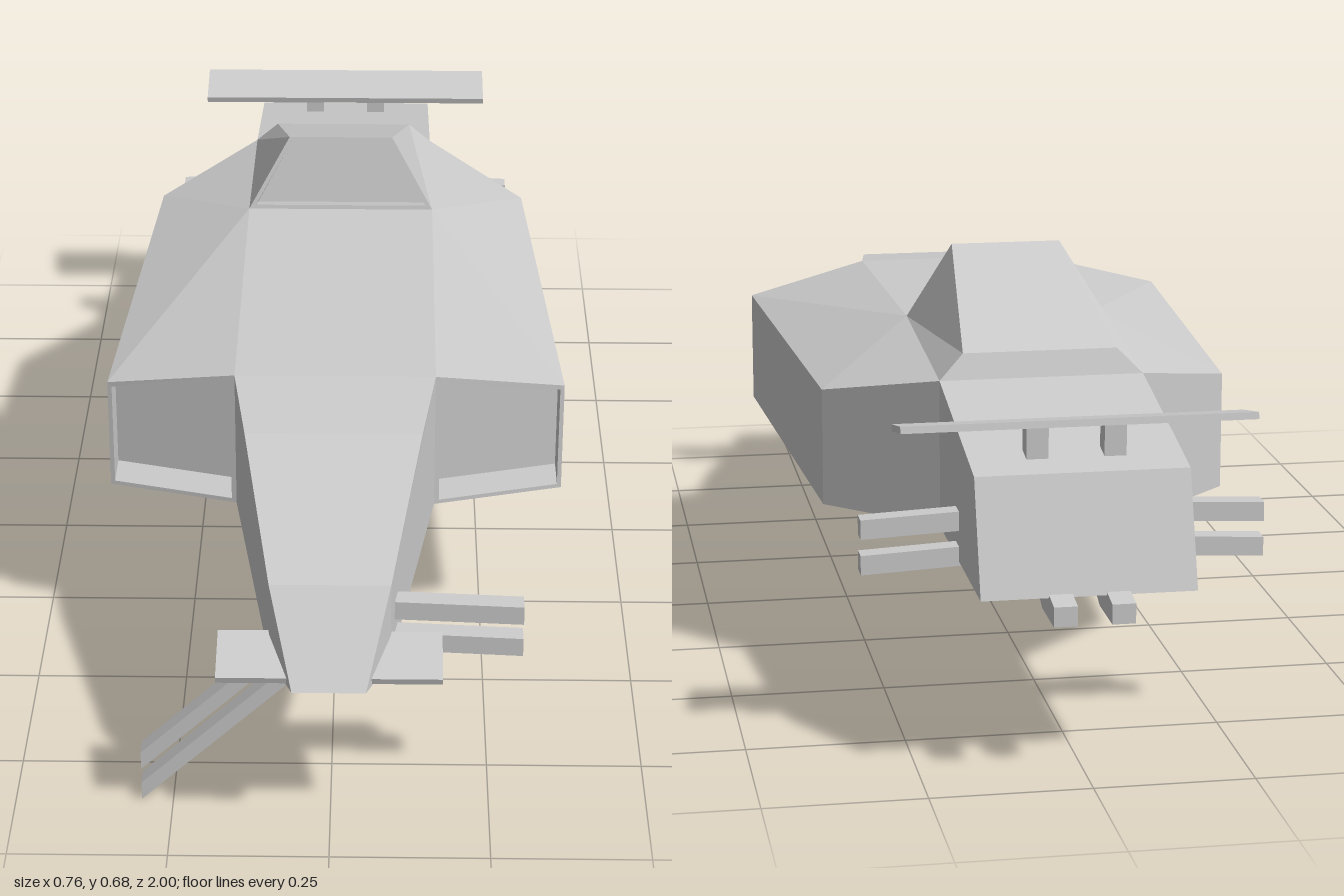
import * as THREE from 'three';

const material = new THREE.MeshStandardMaterial({ color: 0xcccccc, flatShading: true });

function addMesh(parent, name, geometry) {
  const mesh = new THREE.Mesh(geometry, material);
  mesh.name = name;
  parent.add(mesh);
  return mesh;
}

// Flat-faced geometry from convex polygons, each split as a fan
function facesGeometry(faces) {
  const pos = [];
  for (const f of faces)
    for (let i = 1; i < f.length - 1; i++) pos.push(...f[0], ...f[i], ...f[i + 1]);
  const g = new THREE.BufferGeometry();
  g.setAttribute('position', new THREE.Float32BufferAttribute(pos, 3));
  g.computeVertexNormals();
  return g;
}

const flip = ([x, y, z]) => [-x, y, z];
const withMirror = (faces) => faces.flatMap((f) => [f, f.map(flip).reverse()]);

// Frame, side walls and back of a recessed opening
function recess(outer, inner, deep) {
  const faces = [deep];
  outer.forEach((o, i) => {
    const j = (i + 1) % outer.length;
    faces.push([o, outer[j], inner[j], inner[i]], [inner[i], inner[j], deep[j], deep[i]]);
  });
  return faces;
}

// Box between two end points in the front plane, with upright ends
function rod(parent, name, x0, y0, x1, y1, z) {
  const g = new THREE.BoxGeometry(Math.abs(x1 - x0), 0.031, 0.032);
  const p = g.attributes.position, mx = (x0 + x1) / 2, slope = (y1 - y0) / (x1 - x0);
  for (let i = 0; i < p.count; i++)
    p.setXYZ(i, p.getX(i) + mx, p.getY(i) + (y0 + y1) / 2 + p.getX(i) * slope, p.getZ(i) + z);
  g.computeVertexNormals();
  addMesh(parent, name, g);
}

function plate(parent, name, width, depth, y, z, tilt) {
  const m = addMesh(parent, name, new THREE.BoxGeometry(width, 0.011, depth));
  m.position.set(0, y, z);
  m.rotation.x = tilt;
}

export function createModel() {
  const model = new THREE.Group();
  const base = 0.29;

  // Fuselage: closed centre strip over the roof and back along the belly, plus sides
  const nose = [0.056, 0.303, 1], brow = [0.093, 0.425, 0.89], hood = [0.142, 0.51, 0.57];
  const A = [0.165, 0.53, 0.41], B = [0.165, 0.555, -0.19], C = [0.165, 0.53, -0.56];
  const tail = [0.165, 0.465, -0.9], tailLow = [0.165, base, -0.96];
  const down = ([x, , z]) => [x, base, z];
  const A0 = down(A), C0 = down(C), chin = down(brow);
  const loop = [nose, brow, hood, A, B, C, tail, tailLow, A0, chin];
  const hull = [];
  loop.forEach((a, i) => {
    const b = loop[(i + 1) % loop.length];
    hull.push([[0, a[1], a[2]], a, b, [0, b[1], b[2]]]);
  });
  hull.push([brow, nose, chin], [brow, chin, A0, A, hood], [C0, tailLow, tail, C]);
  addMesh(model, 'fuselage', facesGeometry(withMirror(hull)));

  // Side pods with recessed front intakes
  const D = [0.38, 0.484, 0.35], E = [0.335, 0.484, -0.4];
  const D0 = down(D), E0 = down(E);
  const onIntake = ([x, y], back = 0) => [x, y, 0.41 - (x - 0.165) * 0.28 - back];
  const opening = [[0.173, 0.519], [0.173, 0.297], [0.373, 0.297], [0.373, 0.477]];
  addMesh(model, 'sidePods', facesGeometry(withMirror([
    [A, D, B], [B, D, E], [B, E, C],
    [D, D0, E0, E], [E, E0, C0, C], [C0, E0, D0, A0],
    ...recess([A, A0, D0, D], opening.map((p) => onIntake(p)), opening.map((p) => onIntake(p, 0.07))),
  ])));

  // Canopy with a recessed windscreen
  const P = [0.092, 0.683, -0.22], T = [0.125, 0.57, -0.545];
  const onScreen = (x, y) => [x, y, -0.19 - (y - 0.555) * 0.234];
  const screen = [onScreen(-0.088, 0.676), onScreen(-0.153, 0.562), onScreen(0.153, 0.562), onScreen(0.088, 0.676)];
  addMesh(model, 'canopy', facesGeometry([
    ...withMirror([[B, C, T, P]]),
    [flip(P), P, T, flip(T)],
    [T, C, flip(C), flip(T)],
    ...recess([flip(P), flip(B), B, P], screen, screen.map(([x, y, z]) => [x * 0.98, y - 0.007, z - 0.03])),
  ]));

  // Nose and tail wings
  plate(model, 'noseWing', 0.344, 0.098, 0.32, 0.927, 0.26);
  plate(model, 'tailWing', 0.546, 0.098, 0.527, -0.837, 0.21);

  // Suspension arms: two per corner, the front right pair hanging down
  for (const [yIn, yOut] of [[0.358, 0.348], [0.302, 0.291]]) {
    rod(model, 'frontLeftArm', 0.05, yIn, 0.298, yOut, 0.835);
    for (const s of [-1, 1]) rod(model, 'rearArm', s * 0.1, yIn, s * 0.318, yOut, -0.74);
  }
  rod(model, 'frontRightUpperArm', -0.07, 0.29, -0.3, 0.073, 0.835);
  rod(model, 'frontRightLowerArm', -0.01, 0.29, -0.3, 0.016, 0.835);

  // Wing struts and the outlets under the tail
  const outlet = new THREE.Shape([[0.82, 0.294], [0.905, 0.257], [1, 0.257], [1, 0.288], [0.95, 0.296]]
    .map(([x, y]) => new THREE.Vector2(x, y)));
  for (const s of [-1, 1]) {
    const strut = addMesh(model, 'wingStrut', new THREE.BoxGeometry(0.034, 0.06, 0.034));
    strut.position.set(s * 0.06, 0.495, -0.833);
    const g = new THREE.ExtrudeGeometry(outlet, { depth: 0.036, bevelEnabled: false });
    g.translate(0, 0, -0.018).rotateY(Math.PI / 2);
    addMesh(model, 'tailOutlet', g).position.x = s * 0.044;
  }
  return model;
}
